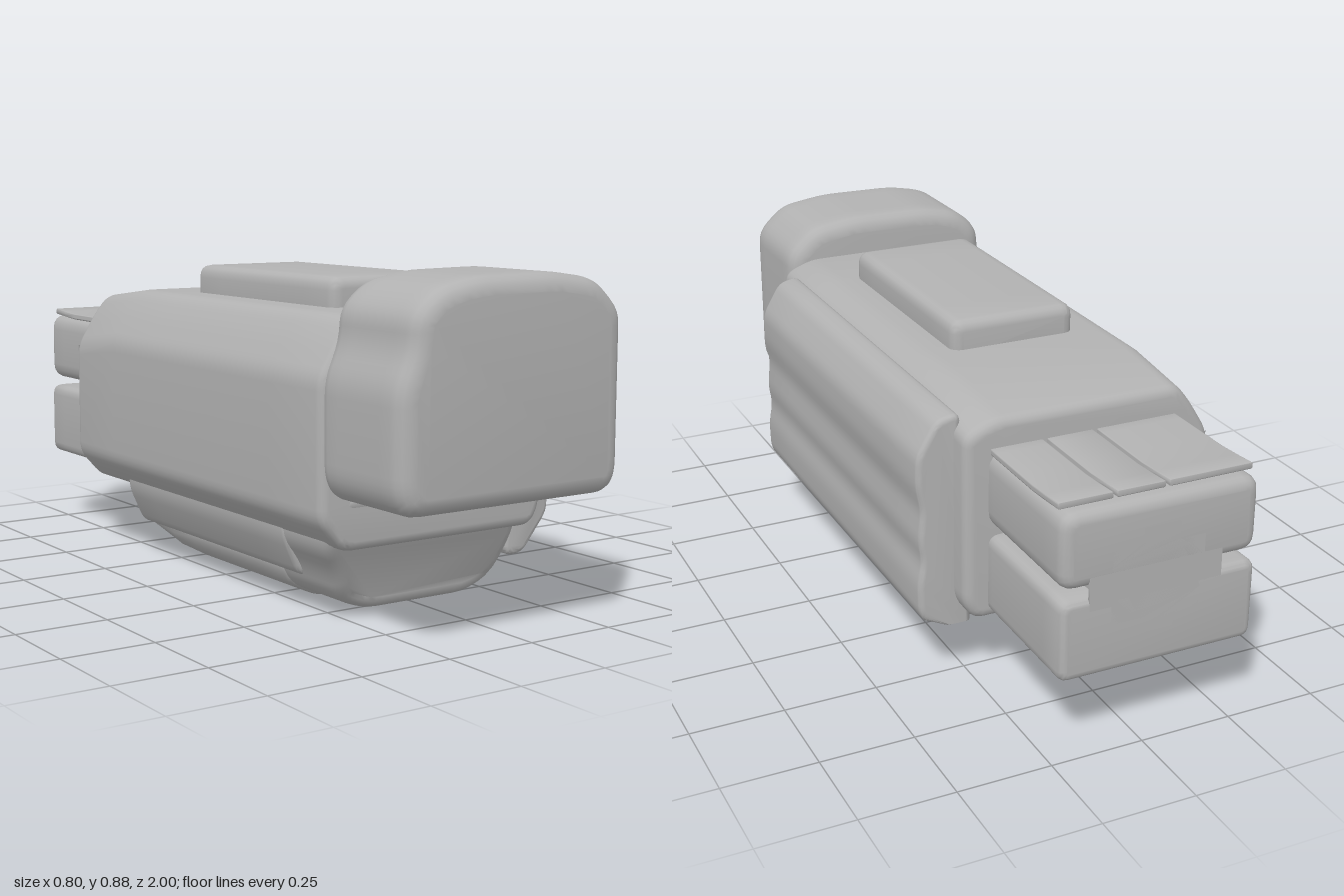
import * as THREE from 'three';
import { toCreasedNormals } from 'three/addons/utils/BufferGeometryUtils.js';

const grey = new THREE.MeshStandardMaterial({ color: 0xb2b2b2 });
grey.name = 'plain grey';

// Polygon with each corner rounded by radius r
function roundedShape(points, r) {
  const pts = points.map(([x, y]) => new THREE.Vector2(x, y));
  const shape = new THREE.Shape();
  pts.forEach((p, i) => {
    const prev = pts[(i + pts.length - 1) % pts.length];
    const next = pts[(i + 1) % pts.length];
    const cut = (q) => p.clone().lerp(q, Math.min(0.45, r / p.distanceTo(q)));
    const a = cut(prev), b = cut(next);
    if (i === 0) shape.moveTo(a.x, a.y);
    else shape.lineTo(a.x, a.y);
    shape.quadraticCurveTo(p.x, p.y, b.x, b.y);
  });
  shape.closePath();
  return shape;
}

// Cross-section in x, y run from z0 to z1 with soft ends; warp may move vertices
function block(name, points, z0, z1, r, bevel, warp) {
  const geo = new THREE.ExtrudeGeometry(roundedShape(points, r), {
    depth: z1 - z0 - 2 * bevel, steps: 6, curveSegments: 4,
    bevelEnabled: bevel > 0, bevelThickness: bevel, bevelSize: bevel,
    bevelOffset: -bevel, bevelSegments: 4,
  });
  geo.translate(0, 0, z0 + bevel);
  if (warp) {
    const p = geo.attributes.position, v = new THREE.Vector3();
    for (let i = 0; i < p.count; i++) {
      v.fromBufferAttribute(p, i);
      warp(v);
      p.setXYZ(i, v.x, v.y, v.z);
    }
  }
  const mesh = new THREE.Mesh(toCreasedNormals(geo, 0.75), grey);
  mesh.name = name;
  return mesh;
}

const rect = (x0, x1, y0, y1) => [[x0, y0], [x1, y0], [x1, y1], [x0, y1]];

export function createModel() {
  const model = new THREE.Group();
  model.name = 'model';

  // Main housing, its top dropping slightly toward the back
  model.add(block('housing', [
    [-0.33, 0.2], [0.27, 0.2], [0.3, 0.25], [0.3, 0.74], [0.22, 0.775],
    [-0.3, 0.775], [-0.345, 0.72], [-0.4, 0.63], [-0.4, 0.28],
  ], -0.615, 0.69, 0.03, 0.025, (v) => {
    if (v.z < -0.4 && v.y > 0.6) v.y -= (-0.4 - v.z) * 0.14;
  }));

  // Front head
  model.add(block('head', [
    [-0.36, 0.335], [0.25, 0.335], [0.282, 0.38], [0.282, 0.79], [0.2, 0.865],
    [0.06, 0.885], [-0.17, 0.882], [-0.28, 0.86], [-0.35, 0.8],
    [-0.355, 0.72], [-0.395, 0.63], [-0.395, 0.39],
  ], 0.665, 1, 0.04, 0.045));

  // Ridged side panel
  model.add(block('sidePanel', [
    [0.25, 0.105], [0.31, 0.105], [0.395, 0.21], [0.397, 0.3], [0.385, 0.36],
    [0.395, 0.42], [0.386, 0.5], [0.4, 0.57], [0.398, 0.65], [0.345, 0.74],
    [0.28, 0.753],
  ], -0.55, 0.61, 0.025, 0.015, (v) => {
    if (v.z < -0.39 && v.y < 0.17) v.y = 0.165 + (v.y - 0.105) * 0.1;
  }));

  // Top plate
  model.add(block('topPlate', rect(-0.21, 0.15, 0.72, 0.853), -0.22, 0.465, 0.035, 0.03));

  // Lower hull and sloped nose beneath the head
  model.add(block('hull', [
    [-0.3, 0.09], [0.23, 0.09], [0.26, 0.2], [0.26, 0.32], [-0.35, 0.32], [-0.35, 0.2],
  ], -0.39, 0.45, 0.03, 0.015));
  model.add(block('nose', [
    [-0.18, 0.015], [0.14, 0.015], [0.23, 0.05], [0.26, 0.15], [0.26, 0.34],
    [-0.34, 0.34], [-0.35, 0.2], [-0.3, 0.13], [-0.27, 0.05],
  ], 0.33, 0.585, 0.04, 0.03, (v) => {
    if (v.z > 0.45) v.z += Math.max(0, v.y - 0.06) * 0.42;
  }));

  // Bottom plate, its rear end rising
  model.add(block('bottomPlate', [
    [-0.17, 0], [0.11, 0], [0.21, 0.035], [0.235, 0.12], [-0.295, 0.12], [-0.27, 0.045],
  ], -0.385, 0.37, 0.035, 0.03, (v) => {
    if (v.z < -0.22) v.y += Math.max(0, 0.11 - v.y) * (-0.22 - v.z) * 3.5;
  }));

  // Rear connector: two jaws with a bridge between them
  const connector = new THREE.Group();
  connector.name = 'rearConnector';
  connector.add(block('lowerJaw', rect(-0.3, 0.235, 0.22, 0.435), -1, -0.55, 0.03, 0.02));
  connector.add(block('upperJaw', rect(-0.3, 0.235, 0.46, 0.66), -1, -0.55, 0.045, 0.03));
  connector.add(block('bridge', rect(-0.2, 0.14, 0.4, 0.5), -0.985, -0.55, 0.01, 0.005));

  // Jagged end face across the jaws
  connector.add(block('endFace', [
    [-0.2, 0.4], [-0.14, 0.4], [-0.14, 0.34], [-0.07, 0.34], [-0.07, 0.31],
    [0.02, 0.31], [0.02, 0.35], [0.1, 0.35], [0.1, 0.4], [0.16, 0.4],
    [0.16, 0.5], [0.1, 0.5], [0.1, 0.55], [0.02, 0.55], [0.02, 0.59],
    [-0.08, 0.59], [-0.08, 0.54], [-0.15, 0.54], [-0.15, 0.49], [-0.2, 0.49],
  ], -1, -0.993, 0.003, 0));

  // Three thin lids on the upper jaw, tipped up toward the end
  for (const [x0, x1] of [[-0.295, -0.065], [-0.055, 0.075], [0.085, 0.23]]) {
    connector.add(block('lid', rect(x0, x1, 0.655, 0.672), -0.965, -0.58, 0.005, 0.002, (v) => {
      if (v.z < -0.85) v.y += (-0.85 - v.z) * 0.08;
    }));
  }
  model.add(connector);

  return model;
}
